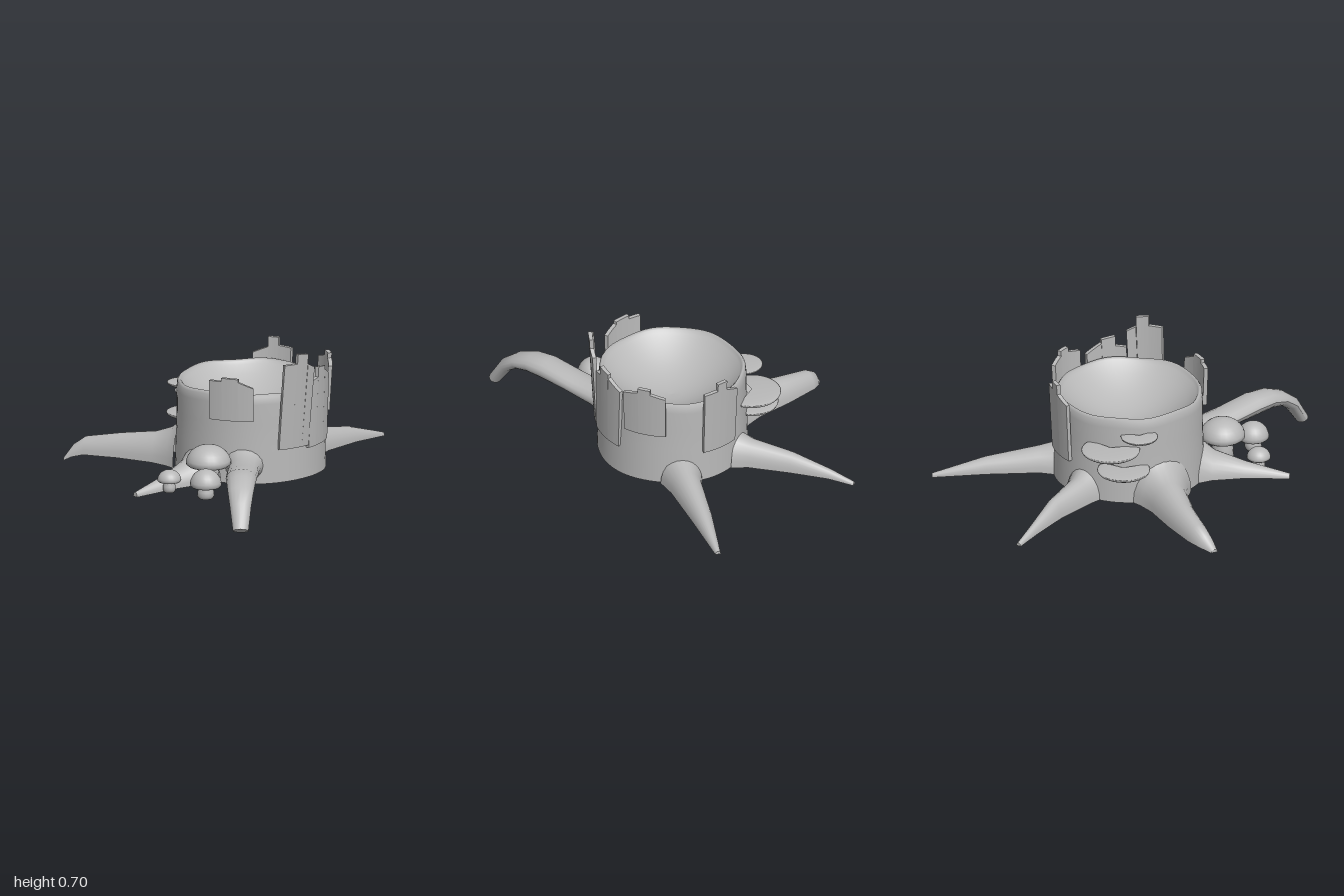
import * as THREE from 'three';

const CX = 0.12, CZ = -0.09; // trunk axis

// Openings where hollow roots meet the trunk: [angle, half angle, top]
const MOUTHS = [[-0.77, 0.27, 0.15], [-1.82, 0.32, 0.2], [-2.95, 0.2, 0.15], [2.32, 0.2, 0.14]];

export function createModel() {
  const group = new THREE.Group();
  const grey = new THREE.MeshStandardMaterial({ color: 0xb8b8b8, side: THREE.DoubleSide });
  grey.name = 'plain grey';

  const add = (name, geometry, parent = group) => {
    const mesh = new THREE.Mesh(geometry, grey);
    mesh.name = name;
    parent.add(mesh);
    return mesh;
  };
  const lathe = (points, segments) =>
    new THREE.LatheGeometry(points.map(([r, y]) => new THREE.Vector2(r, y)), segments);

  // Hollow trunk: outer wall, rounded rim and dished top, open underneath
  const profile = [];
  for (let y = 0.06; y < 0.25; y += 0.03) profile.push([0.365 - 0.03 * (y - 0.06), y]);
  profile.push([0.356, 0.35], [0.357, 0.45], [0.353, 0.485], [0.343, 0.499], [0.333, 0.49]);
  for (let i = 7; i >= 0; i--) profile.push([0.325 * i / 7, 0.335 + 0.14 * (i / 7) ** 2]);
  const trunk = lathe(profile, 64);
  const p = trunk.attributes.position;
  for (let i = 0; i < p.count; i++) {
    const x = p.getX(i), y = p.getY(i), z = p.getZ(i), a = Math.atan2(x, z);
    const k = 1 + 0.008 * Math.sin(5 * a + 1);
    p.setXYZ(i, x * k, y + (y > 0.44 ? 0.004 * Math.sin(7 * a) : 0), z * k);
  }
  const kept = [], faces = trunk.index.array;
  for (let i = 0; i < faces.length; i += 3) {
    const f = [...faces.slice(i, i + 3)];
    const mean = get => (get(f[0]) + get(f[1]) + get(f[2])) / 3;
    const a = Math.atan2(mean(v => p.getX(v)), mean(v => p.getZ(v))), y = mean(v => p.getY(v));
    const open = MOUTHS.some(([m, half, top]) => {
      const d = Math.abs(Math.atan2(Math.sin(a - m), Math.cos(a - m))) / half;
      return d < 1 && y < 0.06 + (top - 0.06) * Math.sqrt(1 - d * d);
    });
    if (!open) kept.push(...f);
  }
  trunk.setIndex(kept);
  add('trunk', trunk).position.set(CX, 0, CZ);

  // Roots: rows of [x, z, half width, top, base, forward lean of the top]
  function root(name, rows, full) {
    const first = rows[0], last = rows[rows.length - 1];
    const dir = new THREE.Vector2(last[0] - first[0], last[1] - first[1]).normalize();
    const n = full ? 16 : 12, pos = [], index = [];
    for (const [x, z, w, top, base, lean = 0] of rows) {
      for (let j = 0; j <= n; j++) {
        const t = (j / n) * Math.PI * (full ? 2 : 1);
        const f = full ? (Math.sin(t) + 1) / 2 : Math.sin(t);
        const side = w * Math.cos(t);
        pos.push(x + dir.x * lean * f - dir.y * side, base + (top - base) * f,
          z + dir.y * lean * f + dir.x * side);
      }
    }
    for (let i = 0; i < rows.length - 1; i++) {
      for (let j = 0; j < n; j++) {
        const a = i * (n + 1) + j, b = a + n + 1;
        index.push(a, a + 1, b, a + 1, b + 1, b);
      }
    }
    // Tip cap
    const s = (rows.length - 1) * (n + 1), c = pos.length / 3;
    for (let j = 0; j <= n; j++) pos.push(...pos.slice((s + j) * 3, (s + j) * 3 + 3));
    for (let j = 1; j < n; j++) index.push(c, c + j, c + j + 1);
    const g = new THREE.BufferGeometry();
    g.setAttribute('position', new THREE.Float32BufferAttribute(pos, 3));
    g.setIndex(index);
    g.computeVertexNormals();
    add(name, g);
  }
  root('frontRoot', [
    [0.09, 0.24, 0.1, 0.245, 0.06], [0.088, 0.29, 0.082, 0.22, 0.075], [0.085, 0.36, 0.076, 0.208, 0.1],
    [0.078, 0.5, 0.077, 0.215, 0.128], [0.07, 0.66, 0.075, 0.24, 0.14], [0.068, 0.75, 0.069, 0.234, 0.145, 0.01],
    [0.066, 0.82, 0.062, 0.2, 0.135, 0.03], [0.065, 0.88, 0.052, 0.14, 0.095, 0.05],
    [0.065, 0.95, 0.038, 0.03, 0, 0.05]], true);
  root('frontRightRoot', [
    [-0.12, 0.155, 0.14, 0.22, 0.06], [-0.17, 0.2, 0.1, 0.17, 0.06],
    [-0.28, 0.305, 0.053, 0.12, 0.055], [-0.44, 0.45, 0.014, 0.068, 0.045]]);
  root('rightRoot', [
    [-0.21, -0.17, 0.155, 0.27, 0.06], [-0.25, -0.19, 0.13, 0.225, 0.06], [-0.33, -0.225, 0.1, 0.192, 0.06],
    [-0.5, -0.295, 0.075, 0.165, 0.058], [-0.67, -0.345, 0.055, 0.135, 0.055],
    [-0.73, -0.345, 0.038, 0.095, 0.04], [-0.775, -0.335, 0.018, 0.035, 0.02]]);
  root('backRoot', [
    [0.06, -0.43, 0.1, 0.2, 0.06], [0.035, -0.5, 0.075, 0.172, 0.06], [-0.015, -0.7, 0.048, 0.145, 0.058],
    [-0.07, -0.88, 0.026, 0.085, 0.045], [-0.1, -1, 0.013, 0.04, 0.025]]);
  root('backLeftRoot', [
    [0.375, -0.315, 0.105, 0.19, 0.06], [0.44, -0.39, 0.078, 0.165, 0.06],
    [0.6, -0.59, 0.05, 0.115, 0.045], [0.765, -0.79, 0.014, 0.032, 0.015]]);

  // Bark plates: curved strips [start angle, end angle, top at start, top at end]
  const bark = new THREE.Group();
  bark.name = 'barkPlates';
  bark.position.set(CX, 0, CZ);
  group.add(bark);
  function plate(name, bottom, tilt, skew, strips) {
    const sheet = new THREE.Group();
    sheet.name = name;
    bark.add(sheet);
    for (const [a0, a1, t0, t1] of strips) {
      const g = new THREE.BoxGeometry(1, 1, 1, 3, 3, 1), q = g.attributes.position;
      for (let i = 0; i < q.count; i++) {
        const u = q.getX(i) + 0.5, v = q.getY(i) + 0.5, w = q.getZ(i) + 0.5;
        const a = a0 + (a1 - a0) * u + skew * v, y = bottom + (t0 + (t1 - t0) * u - bottom) * v;
        const r = 0.356 + 0.02 * w + tilt * (y - 0.2);
        q.setXYZ(i, r * Math.sin(a), y, r * Math.cos(a));
      }
      g.computeVertexNormals();
      add('barkStrip', g, sheet);
    }
  }
  plate('frontPlate', 0.375, 0.03, 0, [[-0.55, -0.38, 0.57, 0.57], [-0.38, -0.16, 0.588, 0.585], [-0.16, 0.03, 0.57, 0.54]]);
  plate('tallPlate', 0.225, 0.06, 0.05, [[0.37, 0.55, 0.65, 0.65], [0.55, 0.71, 0.698, 0.69], [0.71, 0.83, 0.64, 0.615]]);
  plate('leftFrontPlate', 0.21, 0.02, 0.04, [[0.84, 0.99, 0.54, 0.55], [0.99, 1.18, 0.6, 0.59], [1.18, 1.4, 0.57, 0.53]]);
  plate('leftBackPlate', 0.335, 0.06, 0, [[1.52, 1.73, 0.555, 0.575], [1.73, 1.89, 0.6, 0.6], [1.89, 2.08, 0.575, 0.555]]);
  plate('backPlate', 0.22, 0.05, 0, [[2.58, 2.76, 0.555, 0.56], [2.76, 2.9, 0.6, 0.6], [2.9, 3.1, 0.55, 0.52]]);

  // Bracket fungi: flat-topped, round-bellied lenses growing out of the trunk
  for (const [x, y, z, r] of [[-0.1, 0.348, -0.405, 0.142], [-0.19, 0.417, -0.3, 0.09], [-0.155, 0.25, -0.37, 0.128]]) {
    const g = new THREE.SphereGeometry(r, 28, 12, -0.15 * Math.PI, 1.3 * Math.PI), q = g.attributes.position;
    for (let i = 0; i < q.count; i++) q.setY(i, q.getY(i) * (q.getY(i) > 0 ? 0.08 : 0.26));
    g.computeVertexNormals();
    const b = add('bracketFungus', g);
    b.position.set(x, y, z);
    b.rotation.y = Math.atan2(x - CX, z - CZ);
  }

  // Mushrooms: [x, z, cap radius, cap edge height, cap height, stem radius, stem foot]
  for (const [x, z, r, y, h, s, foot] of [
    [-0.085, 0.33, 0.11, 0.18, 0.092, 0.055, 0.06],
    [-0.1, 0.515, 0.077, 0.122, 0.078, 0.042, 0.055],
    [-0.275, 0.395, 0.058, 0.113, 0.052, 0.032, 0.055]]) {
    const m = new THREE.Group();
    m.name = 'mushroom';
    m.position.set(x, 0, z);
    group.add(m);
    const cap = [[0, y], [0.6 * r, y - 0.1 * h], [0.88 * r, y - 0.13 * h]];
    for (let i = 0; i <= 8; i++) {
      const t = (i / 8) * Math.PI / 2;
      cap.push([r * Math.cos(t), y + h * Math.sin(t)]);
    }
    add('mushroomCap', lathe(cap, 24), m);
    add('mushroomStem', lathe([[0, foot], [s * 0.8, foot], [s, foot + 0.015], [s * 0.95, (foot + y) / 2], [s * 0.75, y]], 18), m);
  }
  return group;
}
